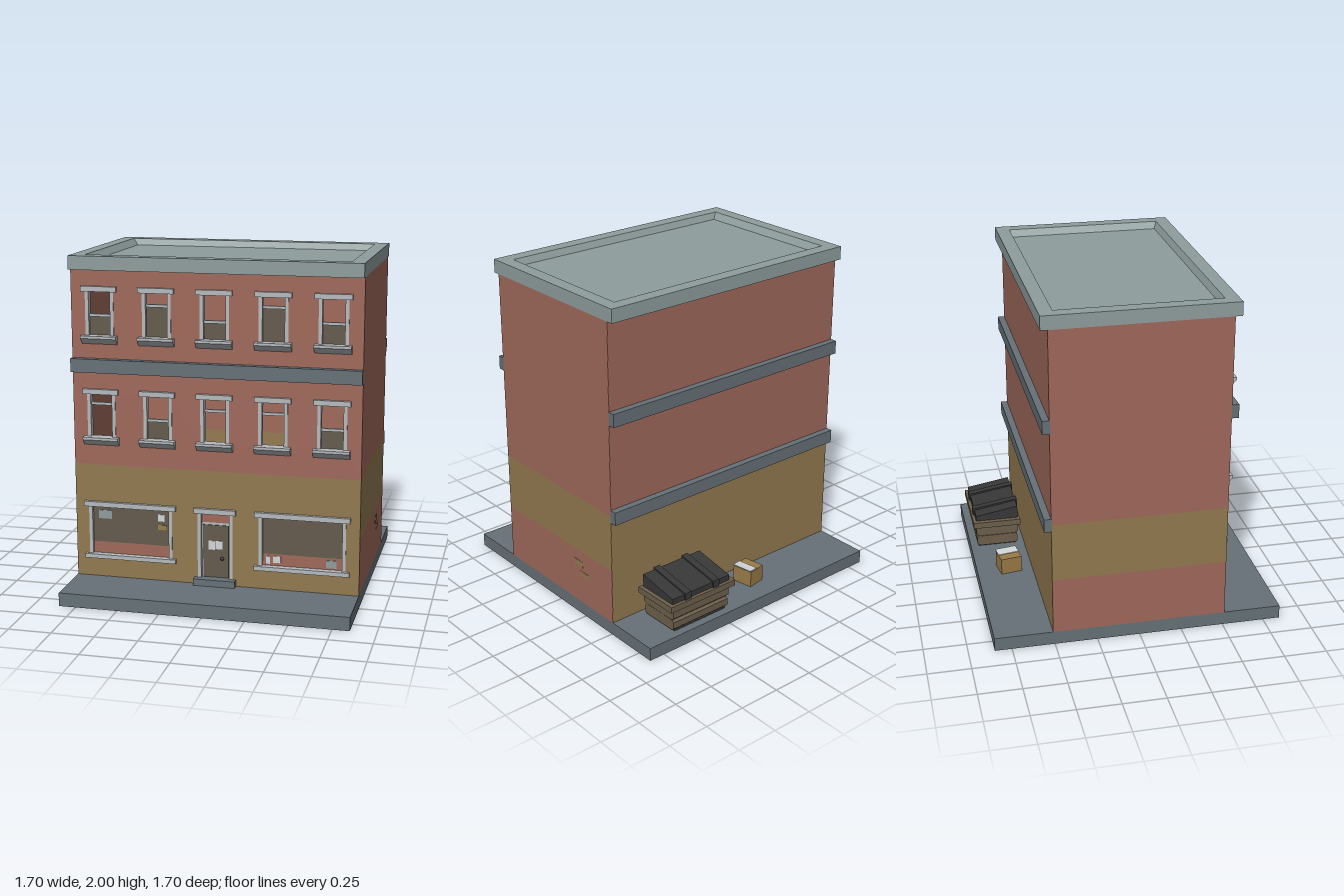
import * as THREE from 'three';

const material = (name, color, side = THREE.FrontSide) => {
  const m = new THREE.MeshStandardMaterial({ color, side });
  m.name = name;
  return m;
};

export function createModel() {
  const model = new THREE.Group();
  model.name = 'cornerBuilding';
  const brick = material('brick', 0xa0695b);
  const tan = material('tanPaint', 0x937a50);
  const roofGrey = material('roofGrey', 0x8f9d9d, THREE.DoubleSide);
  const slate = material('slate', 0x667177);
  const trim = material('trim', 0xb6babd);
  const glass = material('darkGlass', 0x645b4d);
  const black = material('blackPlastic', 0x383838);
  const card = material('cardboard', 0x9a7b48);
  const metal = material('binMetal', 0x6d604c);
  const paper = material('paper', 0xd2d6d8);

  const add = (parent, name, geometry, mat) => {
    const mesh = new THREE.Mesh(geometry, mat);
    mesh.name = name;
    parent.add(mesh);
    return mesh;
  };
  // Box given by its limits on each axis
  const block = (parent, name, mat, x0, x1, y0, y1, z0, z1) => add(parent, name,
    new THREE.BoxGeometry(x1 - x0, y1 - y0, z1 - z0)
      .translate((x0 + x1) / 2, (y0 + y1) / 2, (z0 + z1) / 2), mat);
  // Profile of [z, y] points extruded along x
  const alongX = (parent, name, mat, points, x0, x1) => {
    const shape = new THREE.Shape(points.map(([z, y]) => new THREE.Vector2(-z, y)));
    const g = new THREE.ExtrudeGeometry(shape, { depth: x1 - x0, bevelEnabled: false });
    return add(parent, name, g.rotateY(Math.PI / 2).translate(x0, 0, 0), mat);
  };
  const rect = (C, x0, x1, y0, y1) => new C([[x0, y0], [x1, y0], [x1, y1], [x0, y1]]
    .map(p => new THREE.Vector2(...p)));

  // Pavement
  block(model, 'pavement', slate, -0.85, 0.85, 0, 0.08, -0.85, 0.85);

  // Front wall with openings
  const columns = [-0.68, -0.34, 0, 0.34, 0.68];
  const wall = (name, mat, y0, y1, holes) => {
    const shape = rect(THREE.Shape, -0.849, 0.849, y0, y1);
    holes.forEach(h => shape.holes.push(rect(THREE.Path, ...h)));
    const g = new THREE.ExtrudeGeometry(shape, { depth: 0.025, bevelEnabled: false });
    add(model, name, g.translate(0, 0, 0.485), mat);
  };
  wall('frontGroundWall', tan, 0.08, 0.77,
    [[-0.77, -0.26, 0.21, 0.52], [-0.105, 0.105, 0.1, 0.52], [0.26, 0.77, 0.21, 0.52]]);
  wall('frontUpperWall', brick, 0.77, 1.92, columns.flatMap(x =>
    [[x - 0.085, x + 0.085, 0.93, 1.2], [x - 0.085, x + 0.085, 1.53, 1.8]]));

  // Side walls and back wall, banded in colour
  for (const [y0, y1, mat] of [[0.08, 0.42, brick], [0.42, 0.77, tan], [0.77, 1.92, brick]]) {
    block(model, 'rightWall', mat, -0.85, -0.84, y0, y1, -0.509, 0.509);
    block(model, 'leftWall', mat, 0.84, 0.85, y0, y1, -0.509, 0.509);
    block(model, 'innerBackWall', mat, -0.84, 0.84, y0, y1, -0.5, -0.49);
  }
  block(model, 'backGroundWall', tan, -0.849, 0.849, 0.08, 0.77, -0.51, -0.5);
  block(model, 'backUpperWall', brick, -0.849, 0.849, 0.77, 1.92, -0.51, -0.5);

  // Chipped paint on the left wall
  block(model, 'paintPatch', tan, 0.848, 0.852, 0.315, 0.355, -0.23, -0.15);
  block(model, 'paintPatch', tan, 0.848, 0.852, 0.26, 0.29, -0.285, -0.21);

  // Ledges
  block(model, 'frontLedge', slate, -0.85, 0.85, 1.325, 1.405, 0.505, 0.55);
  block(model, 'backLedge', slate, -0.85, 0.85, 1.325, 1.405, -0.55, -0.505);
  block(model, 'backLowLedge', slate, -0.85, 0.85, 0.73, 0.81, -0.55, -0.505);

  // Roof: parapet ring with a sloping inner face and a sunken deck
  const ring = rect(THREE.Shape, -0.85, 0.85, -0.55, 0.55);
  ring.holes.push(rect(THREE.Path, -0.77, 0.77, -0.47, 0.47));
  add(model, 'parapet', new THREE.ExtrudeGeometry(ring, { depth: 0.08, bevelEnabled: false })
    .rotateX(-Math.PI / 2).translate(0, 1.92, 0), roofGrey);
  add(model, 'parapetSlope', new THREE.CylinderGeometry(Math.SQRT2, Math.SQRT2 * 0.96, 0.04, 4, 1, true)
    .rotateY(Math.PI / 4).toNonIndexed().scale(0.77, 1, 0.47).translate(0, 1.98, 0), roofGrey)
    .geometry.computeVertexNormals();
  block(model, 'roofDeck', roofGrey, -0.769, 0.769, 1.93, 1.961, -0.469, 0.469);

  // Lintel and side posts shared by every opening
  const frame = (g, x0, x1, y0, y1, over) => {
    block(g, 'lintel', trim, x0 - over, x1 + over, y1 - 0.005, y1 + 0.025, 0.49, 0.531);
    block(g, 'jamb', trim, x0, x0 + 0.021, y0, y1, 0.475, 0.513);
    block(g, 'jamb', trim, x1 - 0.021, x1, y0, y1, 0.475, 0.513);
  };

  // Sash windows: height of the bar, and whether the lower sash is glazed
  const rows = [
    [0.93, [[1.135, 0], [1.05, 1], [1.125, 0], [1.125, 0], [1.05, 1]]],
    [1.53, [[1.655, 1], [1.72, 1], [1.64, 1], [1.735, 1], [1.655, 1]]],
  ];
  for (const [y, sashes] of rows) {
    sashes.forEach(([bar, glazed], i) => {
      const g = new THREE.Group(), x = columns[i];
      g.name = 'sashWindow';
      model.add(g);
      frame(g, x - 0.085, x + 0.085, y, y + 0.27, 0.021);
      block(g, 'sashBar', trim, x - 0.065, x + 0.065, bar - 0.008, bar + 0.008, 0.482, 0.5);
      if (glazed) block(g, 'lowerPane', glass, x - 0.066, x + 0.066, y, bar, 0.486, 0.492);
      alongX(g, 'sill', trim, [[0.48, y + 0.01], [0.48, y - 0.005], [0.55, y - 0.005], [0.55, y + 0.01]],
        x - 0.106, x + 0.106);
      alongX(g, 'sillUnderside', trim, [[0.505, y - 0.04], [0.515, y - 0.04], [0.55, y - 0.005], [0.505, y - 0.005]],
        x - 0.106, x + 0.106);
    });
  }

  // Shop windows
  for (const s of [-1, 1]) {
    const g = new THREE.Group(), x = s * 0.515;
    g.name = 'shopWindow';
    model.add(g);
    frame(g, x - 0.255, x + 0.255, 0.21, 0.52, 0.025);
    block(g, 'shopSill', trim, x - 0.28, x + 0.28, 0.195, 0.22, 0.49, 0.531);
    block(g, 'shopPane', glass, x - 0.24, x + 0.24, 0.29, 0.52, 0.486, 0.492);
    block(g, 'displayPanel', brick, x - 0.24, x + 0.24, 0.21, 0.29, 0.486, 0.492);
  }
  // Notices on the shop windows and door
  for (const [mat, x0, x1, y0, y1] of [
    [roofGrey, -0.715, -0.635, 0.435, 0.487], [paper, -0.35, -0.31, 0.44, 0.482],
    [card, -0.35, -0.3, 0.388, 0.418], [paper, 0.3, 0.325, 0.23, 0.275],
    [paper, 0.342, 0.388, 0.238, 0.278], [roofGrey, 0.655, 0.715, 0.23, 0.275],
    [paper, -0.045, -0.005, 0.29, 0.345], [paper, 0, 0.04, 0.295, 0.345],
  ]) block(model, 'notice', mat, x0, x1, y0, y1, 0.491, 0.496);

  // Door
  const door = new THREE.Group();
  door.name = 'entrance';
  model.add(door);
  frame(door, -0.105, 0.105, 0.1, 0.52, 0.02);
  block(door, 'doorBacking', trim, -0.09, 0.09, 0.1, 0.455, 0.478, 0.487);
  block(door, 'doorLeaf', glass, -0.077, 0.077, 0.12, 0.44, 0.483, 0.492);
  block(door, 'transom', brick, -0.085, 0.085, 0.455, 0.52, 0.482, 0.49);
  block(door, 'doorstep', slate, -0.125, 0.125, 0.08, 0.12, 0.48, 0.55);
  add(door, 'doorKnob', new THREE.SphereGeometry(0.011, 10, 8).translate(0.04, 0.24, 0.5), black);

  // Rubbish bin: ridged body, rim, sloping lid with straps
  const bin = new THREE.Group();
  bin.name = 'rubbishBin';
  model.add(bin);
  block(bin, 'binBase', black, 0.25, 0.63, 0.08, 0.095, -0.8, -0.56);
  for (const [y0, y1, out] of [[0.09, 0.155, 0], [0.16, 0.235, 0.004]]) {
    alongX(bin, 'binPanel', metal, [
      [-0.565, y0], [-0.552 + out, y0 + 0.012], [-0.552 + out, y1 - 0.012], [-0.565, y1],
      [-0.795, y1], [-0.808 - out, y1 - 0.012], [-0.808 - out, y0 + 0.012], [-0.795, y0],
    ].reverse(), 0.235 - out, 0.645 + out);
  }
  block(bin, 'binCore', metal, 0.245, 0.635, 0.09, 0.24, -0.795, -0.565);
  block(bin, 'binRim', metal, 0.2, 0.68, 0.23, 0.268, -0.832, -0.535);
  const lid = (name, x0, x1, up) => alongX(bin, name, black, [
    [-0.548 + up, 0.265], [-0.548 + up, 0.347 + up], [-0.812 - up, 0.302 + up], [-0.812 - up, 0.265],
  ], x0, x1);
  lid('lid', 0.23, 0.655, 0);
  for (const x of [0.337, 0.548]) lid('lidStrap', x - 0.022, x + 0.022, 0.01);

  // Cardboard box with one folded flap
  const carton = new THREE.Group();
  carton.name = 'carton';
  carton.position.set(-0.072, 0.08, -0.652);
  carton.rotation.y = 0.17;
  model.add(carton);
  block(carton, 'cartonBody', card, -0.058, 0.058, 0, 0.1, -0.065, 0.065);
  const flap = block(carton, 'cartonFlap', paper, 0, 0.066, -0.002, 0.002, -0.065, 0.065);
  flap.position.y = 0.104;
  flap.rotation.z = 0.08;
  return model;
}
